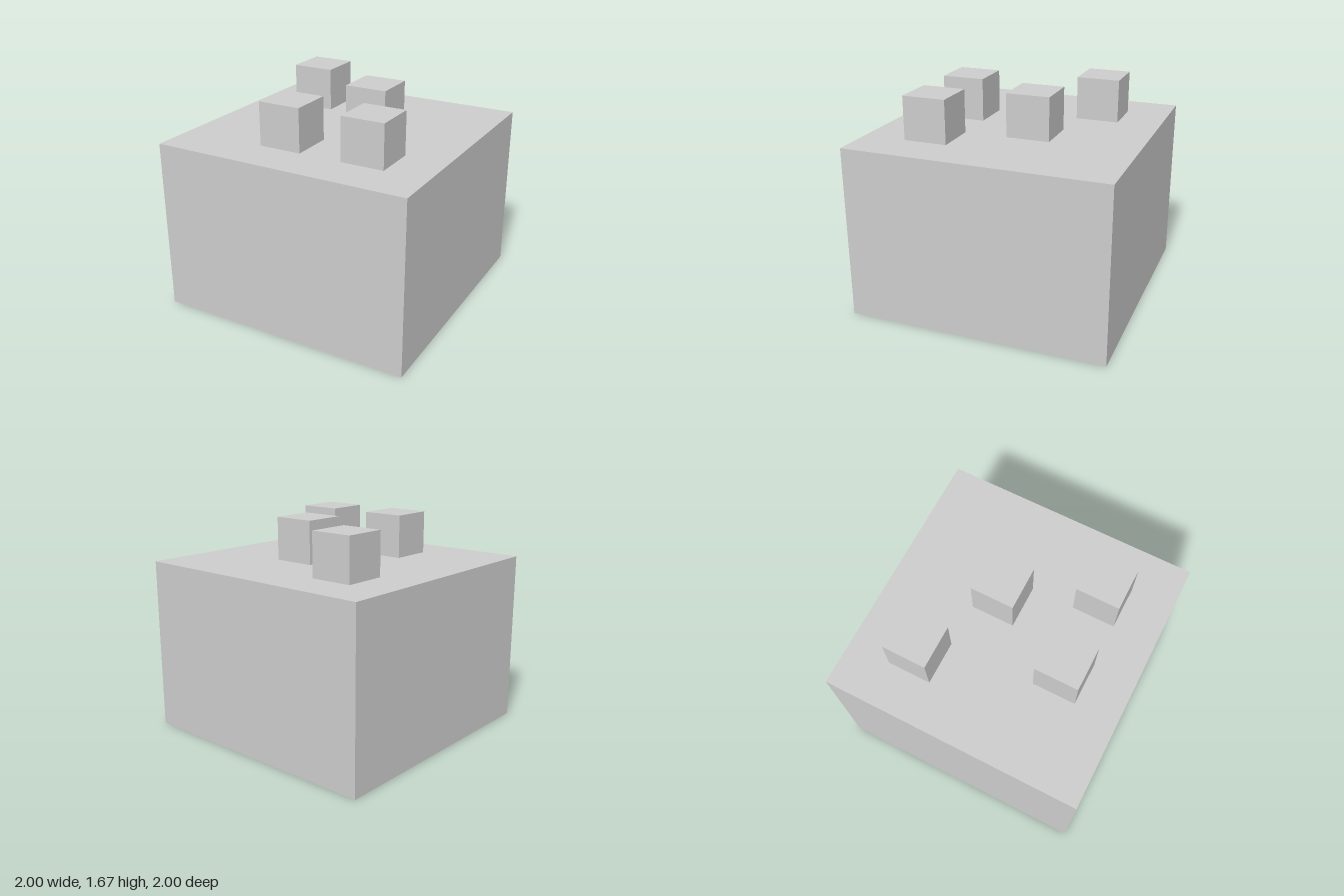
import * as THREE from 'three';

const UNIT = 1 / 3; // edge of one small cube
const BASE_HEIGHT = 4 * UNIT;

export function createModel() {
  const model = new THREE.Group();
  const material = new THREE.MeshStandardMaterial({ color: 0xcccccc, flatShading: true });

  // Large base block
  const base = new THREE.Mesh(new THREE.BoxGeometry(2, BASE_HEIGHT, 2), material);
  base.name = 'baseBlock';
  base.position.y = BASE_HEIGHT / 2;
  model.add(base);

  // Small cubes on top, placed on the unit grid by their centres (x, z)
  const cubeGeometry = new THREE.BoxGeometry(UNIT, UNIT, UNIT);
  const cells = [[-1.5, -1.5], [0.5, -0.5], [-0.5, 1.5], [1.5, 1.5]];
  cells.forEach(([x, z], i) => {
    const cube = new THREE.Mesh(cubeGeometry, material);
    cube.name = `topCube${i + 1}`;
    cube.position.set(x * UNIT, BASE_HEIGHT + UNIT / 2, z * UNIT);
    model.add(cube);
  });

  return model;
}
